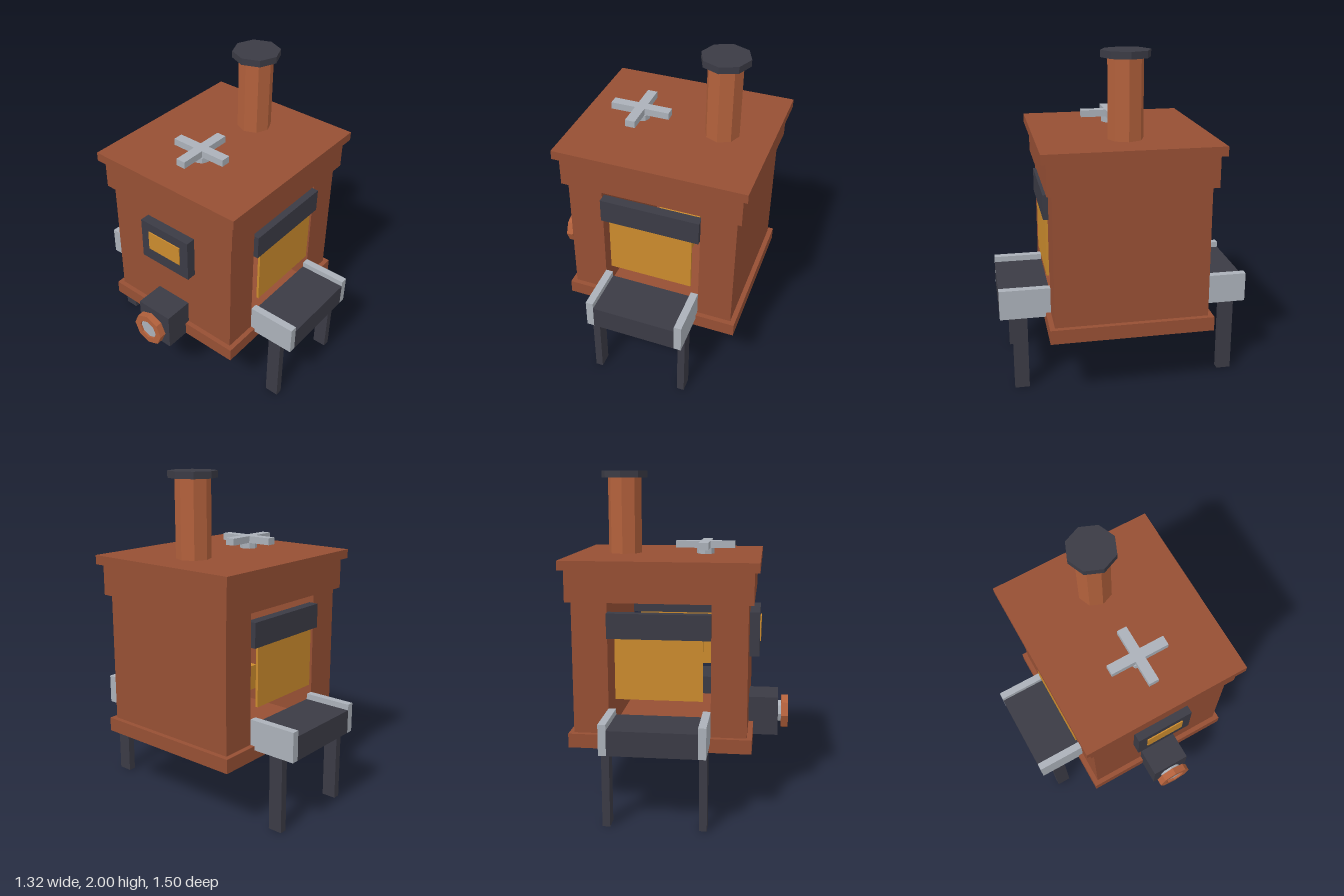
import * as THREE from 'three';

const mat = (name, color) => {
  const m = new THREE.MeshStandardMaterial({ color, flatShading: true });
  m.name = name;
  return m;
};

export function createModel() {
  const brick = mat('brick', 0x964f34);
  const copper = mat('copper', 0xb3613c);
  const iron = mat('dark iron', 0x3b3b45);
  const steel = mat('steel', 0xabb1b9);
  const amber = mat('amber glow', 0xcb8b2d);

  const model = new THREE.Group();
  model.name = 'furnace';

  const add = (name, geometry, material) => {
    const mesh = new THREE.Mesh(geometry, material);
    mesh.name = name;
    model.add(mesh);
    return mesh;
  };
  // Box given by its extents on each axis
  const box = (name, material, [x0, x1], [y0, y1], [z0, z1]) => {
    const mesh = add(name, new THREE.BoxGeometry(x1 - x0, y1 - y0, z1 - z0), material);
    mesh.position.set((x0 + x1) / 2, (y0 + y1) / 2, (z0 + z1) / 2);
    return mesh;
  };
  // Upright eight-sided cylinder
  const octagon = (name, material, r, x, y0, y1) => {
    const mesh = add(name, new THREE.CylinderGeometry(r, r, y1 - y0, 8), material);
    mesh.position.set(x, (y0 + y1) / 2, 0);
    return mesh;
  };

  // Body: plinth, two side walls, upper band and roof slab, open from front to back
  box('plinth', brick, [-0.45, 0.63], [0.395, 0.48], [-0.48, 0.48]);
  box('rightWall', brick, [-0.42, -0.21], [0.48, 1.265], [-0.45, 0.45]);
  box('leftWall', brick, [0.39, 0.6], [0.48, 1.265], [-0.45, 0.45]);
  box('upperBand', brick, [-0.45, 0.63], [1.265, 1.45], [-0.48, 0.48]);
  box('roofSlab', brick, [-0.48, 0.66], [1.45, 1.505], [-0.51, 0.51]);

  // Chimney
  octagon('chimney', copper, 0.103, 0.36, 1.505, 1.96);
  octagon('chimneyCap', iron, 0.142, 0.36, 1.96, 2.0);

  // Cross handle on the roof
  octagon('handleStem', steel, 0.053, -0.138, 1.505, 1.54);
  box('handleBar', steel, [-0.318, 0.042], [1.54, 1.582], [-0.03, 0.03]);
  for (const s of [-1, 1]) {
    box('handleCrossArm', steel, [-0.168, -0.108], [1.54, 1.582], s > 0 ? [0.03, 0.18] : [-0.18, -0.03]);
  }

  // Glowing block inside the chamber
  box('glowingBlock', amber, [-0.05, 0.225], [0.635, 0.79], [-0.14, 0.14]);

  // Door and feed table, the same at the front and the back
  for (const s of [1, -1]) {
    const end = s > 0 ? 'front' : 'back';
    const zr = (a, b) => (s > 0 ? [a, b] : [-b, -a]);
    box(end + 'Lintel', iron, [-0.21, 0.39], [1.058, 1.205], zr(0.42, 0.48));
    box(end + 'GlowPanel', amber, [-0.165, 0.345], [0.698, 1.058], zr(0.45, 0.465));
    box(end + 'Table', iron, [-0.165, 0.345], [0.455, 0.6], zr(0.45, 0.75));
    for (const x of [[-0.21, -0.165], [0.345, 0.39]]) {
      box(end + 'TableRail', steel, x, [0.455, 0.635], zr(0.45, 0.75));
      box(end + 'Leg', iron, x, [0, 0.455], zr(0.59, 0.677));
    }
  }

  // Side window
  box('windowFrame', iron, [-0.48, -0.42], [0.905, 1.175], [-0.18, 0.18]);
  box('windowPane', amber, [-0.487, -0.48], [0.99, 1.115], [-0.12, 0.12]);

  // Side gearbox with a hand wheel
  box('gearbox', iron, [-0.6, -0.42], [0.395, 0.635], [-0.12, 0.12]);
  const hub = add('wheelHub', new THREE.CylinderGeometry(0.068, 0.068, 0.05, 8), steel);
  hub.rotation.z = Math.PI / 2;
  hub.position.set(-0.625, 0.515, 0);

  const ring = (r) => Array.from({ length: 8 }, (_, i) =>
    new THREE.Vector2(Math.cos(i * Math.PI / 4) * r, Math.sin(i * Math.PI / 4) * r));
  const rim = new THREE.Shape(ring(0.107));
  rim.holes.push(new THREE.Path(ring(0.066).reverse()));
  const wheel = add('handWheel', new THREE.ExtrudeGeometry(rim, { depth: 0.043, bevelEnabled: false }), copper);
  wheel.rotation.y = Math.PI / 2;
  wheel.position.set(-0.663, 0.515, 0);

  return model;
}
